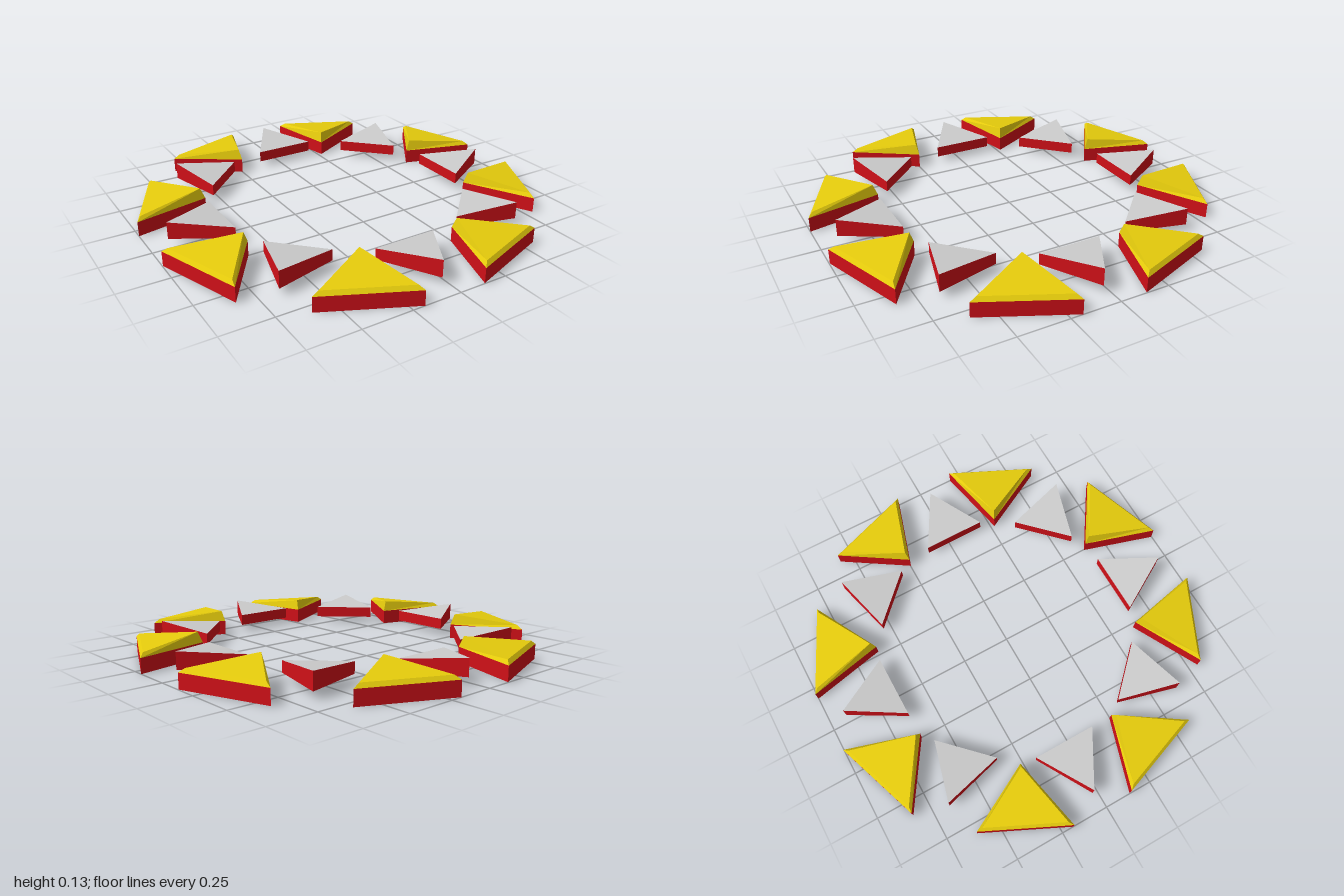
import * as THREE from 'three';

const red = new THREE.MeshStandardMaterial({ color: 0xd01018, flatShading: true });
const gold = new THREE.MeshStandardMaterial({ color: 0xe6cc0c, flatShading: true });
const grey = new THREE.MeshStandardMaterial({ color: 0xcccccc, flatShading: true });

// Plan outlines as [x, z], counter-clockwise seen from above
const LARGE = [[0.19, -1.0], [0.27, -0.62], [0.61, -0.8]];
const SMALL = [[0.03, -0.91], [-0.13, -0.635], [0.19, -0.635]];

// Lift an outline to one height per corner
const ring = (plan, heights) => plan.map(([x, z], i) => [x, heights[i], z]);

// Shrink a triangle towards its incentre so every edge moves in equally
function inset(plan, scale) {
  const w = plan.map((_, i) => {
    const a = plan[(i + 1) % 3], b = plan[(i + 2) % 3];
    return Math.hypot(a[0] - b[0], a[1] - b[1]);
  });
  const sum = w[0] + w[1] + w[2];
  const c = [0, 1].map(k => plan.reduce((s, p, i) => s + p[k] * w[i], 0) / sum);
  return plan.map(p => p.map((v, k) => c[k] + (v - c[k]) * scale));
}

// Sides between two triangular rings, with optional caps
function loft(low, high, { sides = true, bottom = false, top = false }) {
  const pos = [];
  const tri = (...pts) => pts.forEach(p => pos.push(...p));
  if (sides) {
    for (let i = 0; i < 3; i++) {
      const j = (i + 1) % 3;
      tri(low[i], low[j], high[j]);
      tri(low[i], high[j], high[i]);
    }
  }
  if (bottom) tri(low[0], low[2], low[1]);
  if (top) tri(...high);
  const geometry = new THREE.BufferGeometry();
  geometry.setAttribute('position', new THREE.Float32BufferAttribute(pos, 3));
  geometry.computeVertexNormals();
  return geometry;
}

export function createModel() {
  const model = new THREE.Group();
  model.name = 'triangleRing';

  // Large block: level base, bevelled cap rising towards the inner tip
  const floor = ring(LARGE, [0, 0, 0]);
  const rim = ring(LARGE, [0.075, 0.075, 0.075]);
  const crown = ring(inset(LARGE, 0.88), [0.095, 0.13, 0.095]);
  // Small block: raised level base, top rising towards the outer tip
  const under = ring(SMALL, [0.035, 0.035, 0.035]);
  const slope = ring(SMALL, [0.122, 0.092, 0.092]);

  const parts = [
    ['largeBase', loft(floor, rim, { bottom: true }), red],
    ['largeCap', loft(rim, crown, { top: true }), gold],
    ['smallBase', loft(under, slope, { bottom: true }), red],
    ['smallTop', loft(under, slope, { sides: false, top: true }), grey],
  ];

  // Eight identical pairs around the ring
  for (let i = 0; i < 8; i++) {
    const pair = new THREE.Group();
    pair.name = 'trianglePair' + (i + 1);
    pair.rotation.y = (i * Math.PI) / 4;
    for (const [name, geometry, material] of parts) {
      const mesh = new THREE.Mesh(geometry, material);
      mesh.name = name;
      pair.add(mesh);
    }
    model.add(pair);
  }
  return model;
}
